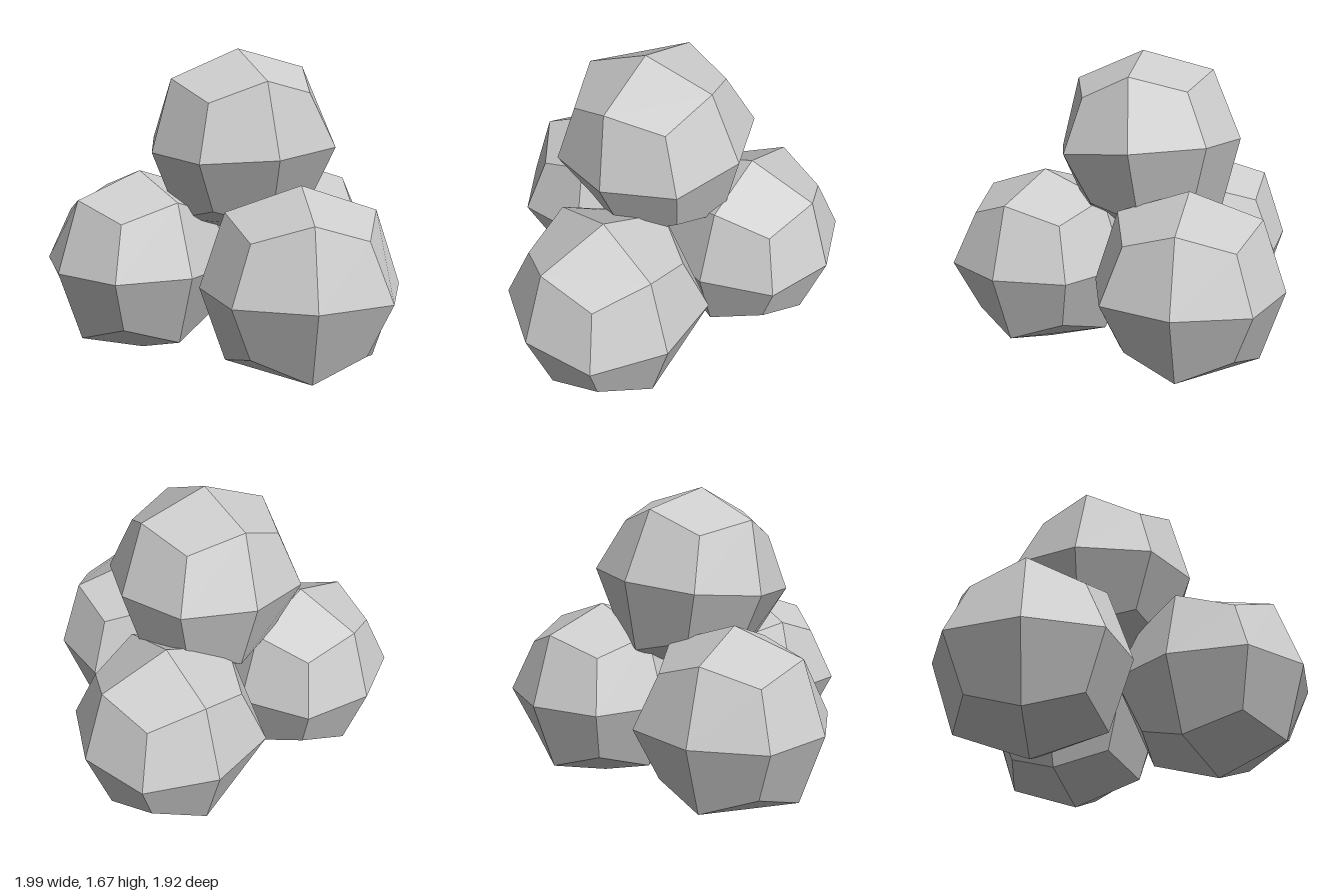
import * as THREE from 'three';

// Distance from the centre per axis for face centres, edge midpoints and corners
const REACH = { 1: 0.505, 2: 0.378, 3: 0.281 };

// A cube split 2 x 2 per face and swollen into a 24-sided ball
function ballGeometry() {
  const box = new THREE.BoxGeometry(2, 2, 2, 2, 2, 2);
  const pos = box.attributes.position;
  const v = new THREE.Vector3();
  for (let i = 0; i < pos.count; i++) {
    v.fromBufferAttribute(pos, i).round();
    const axes = Math.abs(v.x) + Math.abs(v.y) + Math.abs(v.z);
    v.multiplyScalar(REACH[axes]);
    pos.setXYZ(i, v.x, v.y, v.z);
  }

  // One shared normal for the two triangles of each facet
  const geo = box.toNonIndexed();
  geo.clearGroups();
  geo.computeVertexNormals();
  const normal = geo.attributes.normal;
  const other = new THREE.Vector3();
  for (let i = 0; i < normal.count; i += 6) {
    v.fromBufferAttribute(normal, i);
    other.fromBufferAttribute(normal, i + 3);
    v.add(other).normalize();
    for (let k = 0; k < 6; k++) normal.setXYZ(i + k, v.x, v.y, v.z);
  }
  return geo;
}

export function createModel() {
  const group = new THREE.Group();
  group.name = 'ballPile';
  const geometry = ballGeometry();
  const material = new THREE.MeshStandardMaterial({ color: 0xcccccc });

  // Three balls on the ground and one leaning forward on top: centre, tilt, turn
  const balls = [
    ['frontLeftBall', [0.5, 0.505, 0.46], 0, 23.8],
    ['rightBall', [-0.47, 0.505, 0.235], 0, -34.5],
    ['backBall', [0.185, 0.505, -0.43], 0, 40.3],
    ['topBall', [0.06, 1.167, 0.07], 6.2, 40.6],
  ];
  for (const [name, centre, tilt, turn] of balls) {
    const ball = new THREE.Mesh(geometry, material);
    ball.name = name;
    ball.position.set(...centre);
    ball.rotation.set(THREE.MathUtils.degToRad(tilt), THREE.MathUtils.degToRad(turn), 0);
    group.add(ball);
  }
  return group;
}
